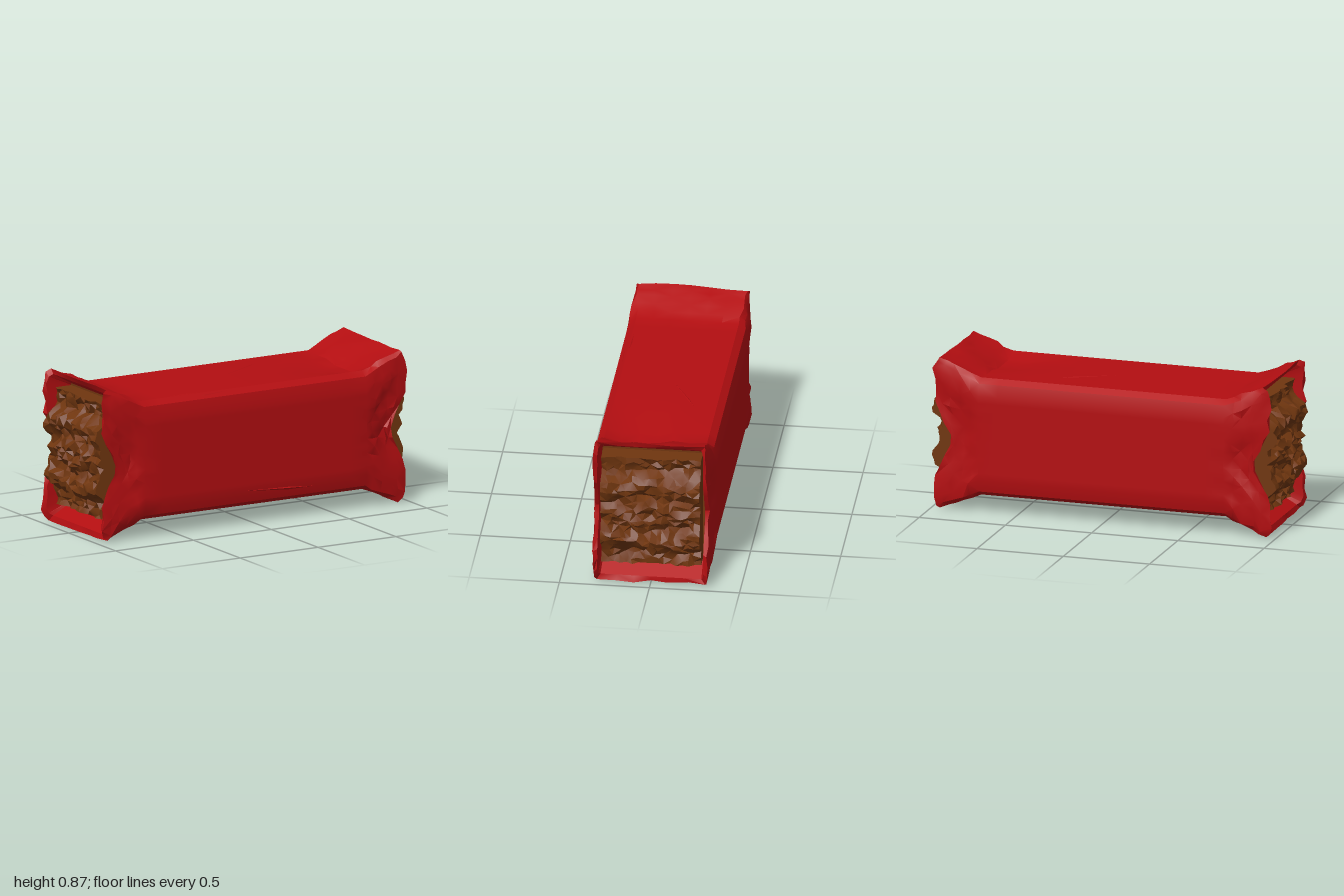
import * as THREE from 'three';
import { toCreasedNormals } from 'three/addons/utils/BufferGeometryUtils.js';

const MID = 0.435; // height of the bar's long axis
const red = new THREE.MeshStandardMaterial({ color: 0xb30e11, side: THREE.DoubleSide });
red.name = 'redWrapper';
const brown = new THREE.MeshStandardMaterial({ color: 0x70360f, side: THREE.DoubleSide });
brown.name = 'brownFilling';

function seeded(seed) {
  return () => {
    seed = (seed * 16807) % 2147483647;
    return seed / 2147483647 - 0.5;
  };
}

const lerp = THREE.MathUtils.lerp;
const clamp = THREE.MathUtils.clamp;
const tent = (d, halfWidth) => Math.max(0, 1 - Math.abs(d) / halfWidth);

// Skin a list of equally long point rows; creased where faces meet sharply
function skin(rows, closed, flip, crease) {
  const n = rows[0].length, index = [];
  for (let i = 0; i < rows.length - 1; i++) {
    for (let j = 0; j < (closed ? n : n - 1); j++) {
      const k = (j + 1) % n;
      const a = i * n + j, b = i * n + k, c = a + n, d = b + n;
      const tri = (i + j) % 2 ? [a, b, c, b, d, c] : [a, b, d, a, d, c];
      index.push(...(flip ? tri.reverse() : tri));
    }
  }
  const geo = new THREE.BufferGeometry();
  geo.setAttribute('position', new THREE.Float32BufferAttribute(rows.flat(2), 3));
  geo.setIndex(index);
  return toCreasedNormals(geo, crease);
}

// Soft-cornered box section as [y, z, side weight], top first, then round
function section(h, hs, w, wt) {
  const half = [];
  for (let i = 0; i <= 6; i++) half.push([h, lerp(-wt, wt, i / 6), 0]);
  half.push([lerp(hs, h, 0.72), lerp(w, wt, 0.3), 0.6]);
  for (let i = 0; i < 13; i++) half.push([lerp(hs, -hs, i / 12), w, 1]);
  half.push([-lerp(hs, h, 0.72), lerp(w, wt, 0.3), 0.6]);
  const other = half.map(([y, z, s]) => [-y, -z, s]);
  return [...half, ...other];
}

// Torn lip of the side flaps: jagged with a deep notch at mid height
function lipShift(y) {
  return 0.036 - 0.105 * tent(y + 0.025, 0.21) - 0.014 * tent(Math.abs(y) - 0.27, 0.05);
}

function wrapperRing(x, sign, rand) {
  const m = clamp((x - 0.71) / 0.23, 0, 1);
  const pts = section(lerp(0.335, 0.43, m), lerp(0.24, 0.37, m), lerp(0.34, 0.315, m), lerp(0.285, 0.303, m));
  return pts.map(([y, z, s]) => {
    const shake = m > 0 && m < 1 ? 0.016 : 0;
    let px = x + s * m * m * lipShift(y) + rand() * shake * 1.4;
    let py = y + rand() * shake * 0.8;
    let pz = z + rand() * shake;
    // sides pinched in towards the notch
    if (s === 1) pz -= Math.sign(z) * 0.022 * tent(y, 0.24) * tent(m - 0.5, 0.5);
    // shallow dents in the top and bottom faces
    if (s === 0 && sign > 0) {
      const inner = Math.abs(z) < 0.25 ? 1 : 0;
      const near = z * Math.sign(y) > -0.05 ? 1 : 0.3;
      py -= Math.sign(y) * 0.035 * tent(x - 0.66, 0.3) * inner * near;
    }
    return [sign * px, MID + py, pz];
  });
}

// Inner walls behind each lip
function innerRings(sign) {
  const lip = section(0.4, 0.35, 0.294, 0.28)
    .map(([y, z, s]) => [sign * (0.932 + s * lipShift(y)), MID + y, z]);
  const deep = section(0.325, 0.3, 0.283, 0.275)
    .map(([y, z]) => [sign * 0.8, MID + y, z]);
  return [lip, deep];
}

function makeWrapper() {
  const rand = seeded(77);
  const stations = [0.25, 0.45, 0.6, 0.71, 0.76, 0.81, 0.86, 0.9, 0.94];
  const rows = [];
  const left = innerRings(-1);
  rows.push(left[1], left[0]);
  for (const x of [...stations].reverse()) rows.push(wrapperRing(x, -1, rand));
  rows.push(wrapperRing(0, 1, rand));
  for (const x of stations) rows.push(wrapperRing(x, 1, rand));
  rows.push(...innerRings(1));
  const mesh = new THREE.Mesh(skin(rows, true, true, 0.5), red);
  mesh.name = 'wrapper';
  return mesh;
}

// Crumpled filling: folded ridges in diamonds round the middle of the end
function makeFilling(sign) {
  const rand = seeded(sign > 0 ? 421 : 911);
  const NY = 24, NZ = 16, W = 0.276, H = 0.325;
  const rows = [];
  for (let i = 0; i <= NY; i++) {
    const y0 = lerp(-H, H, i / NY);
    const row = [];
    for (let j = 0; j <= NZ; j++) {
      const z0 = lerp(-W, W, j / NZ);
      const edge = i === 0 || i === NY || j === 0 || j === NZ;
      const d = Math.abs(y0) + 0.3 * Math.abs(z0) * tent(y0, 0.3);
      const wave = Math.abs((((d + 0.02) / 0.135) % 1) * 2 - 1); // zigzag 0..1
      const reach = lerp(0.93, 1, clamp((0.29 - Math.abs(y0)) / 0.1, 0, 1));
      const x = Math.min(1, reach - 0.055 * wave + rand() * 0.035);
      const jog = edge ? 0 : 0.022;
      row.push([sign * x, MID + y0 + rand() * jog, z0 + rand() * jog]);
    }
    // skirt at each side, reaching back into the wrapper
    const back = (z) => [sign * 0.81, MID + y0, z];
    rows.push([back(-W), ...row, back(W)]);
  }
  // skirts above and below
  const behind = (row) => row.map(([, y, z]) => [sign * 0.81, y, z]);
  rows.unshift(behind(rows[0]));
  rows.push(behind(rows[rows.length - 1]));
  const mesh = new THREE.Mesh(skin(rows, false, sign > 0, 0.45), brown);
  mesh.name = sign > 0 ? 'leftFilling' : 'rightFilling';
  return mesh;
}

// Recessed wall closing the wrapper behind the filling
function makeBackWall(sign) {
  const mesh = new THREE.Mesh(new THREE.BoxGeometry(0.008, 0.69, 0.57), brown);
  mesh.position.set(sign * 0.815, MID, 0);
  mesh.name = sign > 0 ? 'leftFillingBack' : 'rightFillingBack';
  return mesh;
}

// Slim pleat: a low ridge between two points, raised along "up"
function makePleat(a, b, side, up, name) {
  const A = new THREE.Vector3(...a), B = new THREE.Vector3(...b);
  const S = new THREE.Vector3(...side), U = new THREE.Vector3(...up);
  const mid = A.clone().lerp(B, 0.6);
  const p = mid.clone().add(S), q = mid.clone().sub(S), r = mid.clone().add(U);
  const geo = new THREE.BufferGeometry().setFromPoints([A, p, r, p, B, r, B, q, r, q, A, r]);
  geo.computeVertexNormals();
  const mesh = new THREE.Mesh(geo, red);
  mesh.name = name;
  return mesh;
}

export function createModel() {
  const group = new THREE.Group();
  group.name = 'wrappedBar';
  group.add(makeWrapper());
  for (const sign of [1, -1]) group.add(makeFilling(sign), makeBackWall(sign));
  group.add(
    makePleat([-0.12, 0.768, 0.06], [0.46, 0.76, -0.25], [0.008, 0, 0.016], [0, 0.01, 0], 'topPleat'),
    makePleat([-0.72, 0.765, 0.27], [-0.2, 0.765, 0.28], [0, 0, -0.015], [0, 0.008, 0], 'topFrontPleat'),
    makePleat([-0.28, 0.205, 0.338], [0.54, 0.16, 0.325], [0, 0.014, 0], [0, 0, 0.012], 'frontPleat'),
    makePleat([-0.7, 0.72, 0.318], [-0.05, 0.765, 0.29], [0, 0.014, 0], [0, 0, 0.012], 'frontTopPleat'),
  );
  return group;
}
